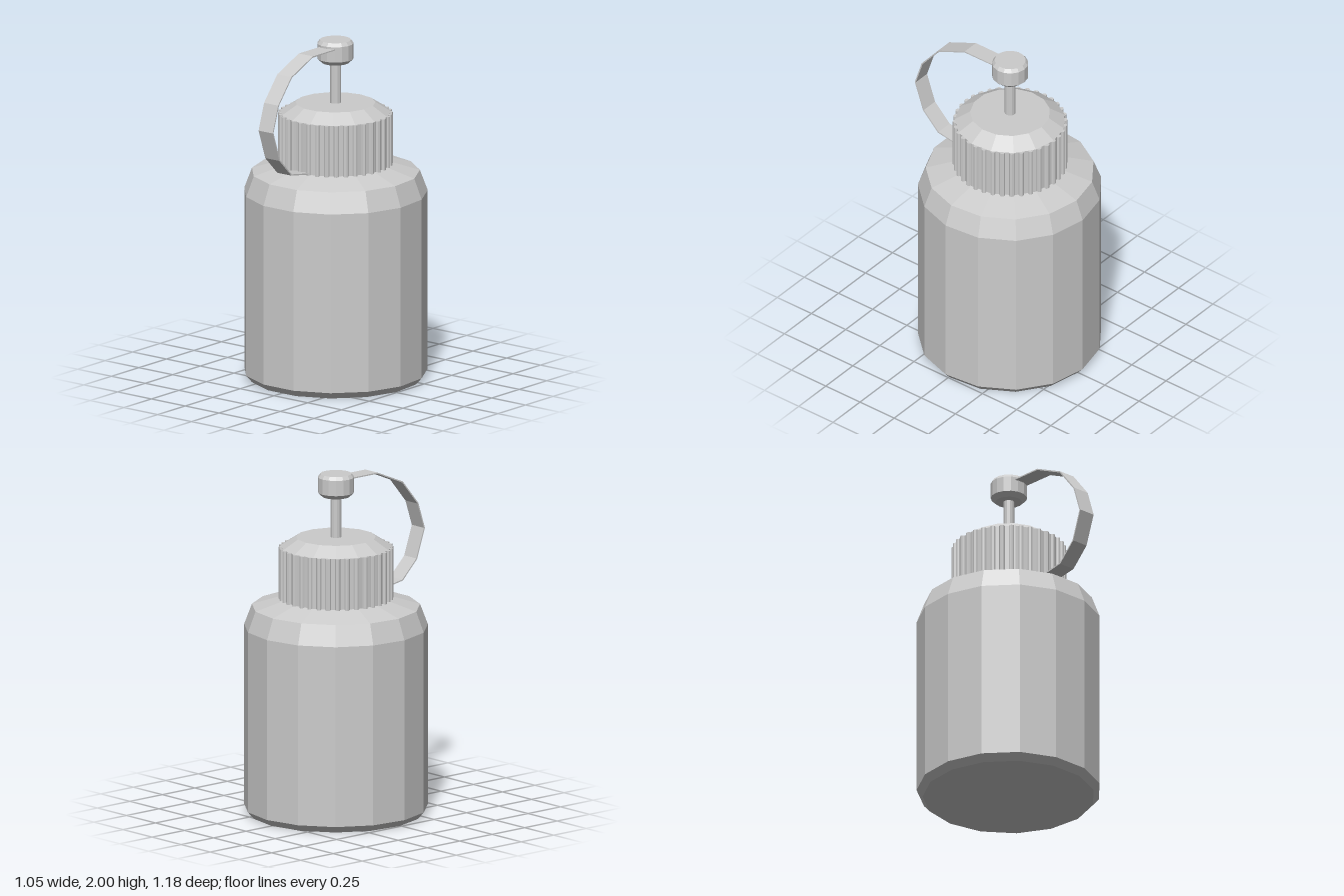
import * as THREE from 'three';

const SIDES = 15;
const AXIS_Z = -0.058;

export function createModel() {
  const model = new THREE.Group();
  const material = new THREE.MeshStandardMaterial({ color: 0xcccccc, flatShading: true });

  // Faceted turned part; profile runs bottom to top as [radius, y]
  const turned = (name, profile, sides = SIDES) => {
    const points = profile.map(([r, y]) => new THREE.Vector2(r, y));
    const mesh = new THREE.Mesh(new THREE.LatheGeometry(points, sides), material);
    mesh.name = name;
    mesh.rotation.y = Math.PI; // one corner points straight back
    mesh.position.z = AXIS_Z;
    model.add(mesh);
  };

  turned('bottleBody', [[0, 0], [0.495, 0], [0.53, 0.04], [0.53, 1.1], [0.485, 1.22], [0.32, 1.27], [0, 1.27]]);
  turned('screwCap', [[0, 1.265], [0.318, 1.265], [0.318, 1.57], [0.23, 1.627], [0, 1.627]]);
  turned('spoutStem', [[0, 1.61], [0.032, 1.61], [0.032, 1.88], [0, 1.88]], 12);
  turned('spoutKnob', [[0, 1.865], [0.078, 1.865], [0.105, 1.89], [0.105, 1.98], [0.09, 2], [0, 2]]);

  // Grip ribs around the cap
  const ribs = new THREE.Group();
  ribs.name = 'capRibs';
  ribs.position.set(0, 1.418, AXIS_Z);
  const ribGeometry = new THREE.CylinderGeometry(0.016, 0.016, 0.304, 8);
  const ribCount = 36;
  for (let i = 0; i < ribCount; i++) {
    const a = (i / ribCount) * Math.PI * 2;
    const rib = new THREE.Mesh(ribGeometry, material);
    rib.name = 'rib';
    rib.position.set(Math.sin(a) * 0.314, 0, -Math.cos(a) * 0.314);
    rib.rotation.y = -a;
    ribs.add(rib);
  }
  model.add(ribs);

  // Thin strap looping from the cap to the knob, drawn as (z, y)
  const outer = [
    [0, 1.968], [0.225, 1.968], [0.42, 1.885], [0.54, 1.74],
    [0.59, 1.585], [0.53, 1.41], [0.42, 1.3], [0.24, 1.27],
  ].map(([z, y]) => new THREE.Vector2(z, y));
  const centre = new THREE.Vector2(0.25, 1.62);
  const inner = outer.map((p) => p.clone().add(centre.clone().sub(p).setLength(0.008)));
  const strapShape = new THREE.Shape([...outer, ...inner.reverse()]);
  const strap = new THREE.Mesh(
    new THREE.ExtrudeGeometry(strapShape, { depth: 0.104, bevelEnabled: false }), material);
  strap.name = 'strap';
  strap.rotation.y = -Math.PI / 2;
  strap.position.x = 0.063;
  model.add(strap);

  return model;
}
